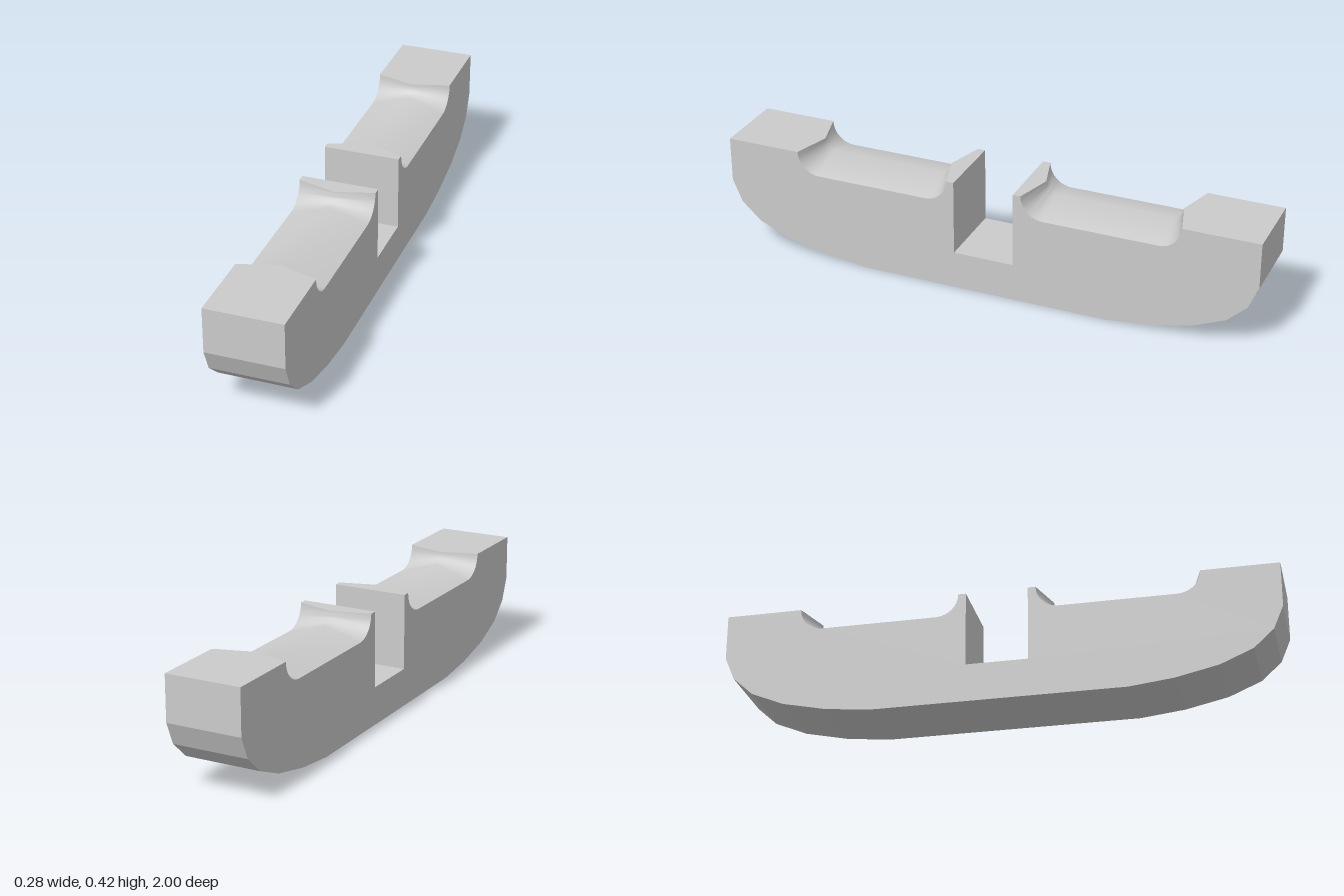
import * as THREE from 'three';
import { toCreasedNormals } from 'three/addons/utils/BufferGeometryUtils.js';

const HALF_W = 0.139, TOP = 0.417;
const SLOT_HALF = 0.112, SLOT_FLOOR = 0.14;
// Groove: fillet centres along z, radius at the sides and at the middle ridge
const Z_IN = 0.222, Z_OUT = 0.641, R_SIDE = 0.082, R_MID = 0.042;

// Half of the side outline, from the bottom round to the central slot
function halfProfile() {
  const pts = [[0.46, 0], [0.62, 0.018], [0.775, 0.052], [0.893, 0.102], [0.965, 0.168], [1, 0.251], [1, TOP]];
  const arc = (zc, from) => {
    for (let i = 0; i <= 8; i++) {
      const a = from - (i / 8) * Math.PI / 2;
      pts.push([zc + R_SIDE * Math.cos(a), TOP + R_SIDE * Math.sin(a)]);
    }
  };
  arc(Z_OUT, 0);
  arc(Z_IN, -Math.PI / 2);
  pts.push([SLOT_HALF, TOP], [SLOT_HALF, SLOT_FLOOR]);
  return pts;
}

function bodyGeometry() {
  const half = halfProfile();
  const mirrored = half.map(([z, y]) => [-z, y]).reverse();
  const shape = new THREE.Shape([...half, ...mirrored].map(([z, y]) => new THREE.Vector2(z, y)));
  const geo = new THREE.ExtrudeGeometry(shape, { depth: 2 * HALF_W, steps: 2, bevelEnabled: false });
  geo.translate(0, 0, -HALF_W).rotateY(-Math.PI / 2);

  // Pull the middle row of each groove inwards to form the raised ridge
  const inGroove = (y, z) => y > 0.3 && Math.abs(z) > 0.13 && Math.abs(z) < 0.73;
  const p = geo.attributes.position;
  for (let i = 0; i < p.count; i++) {
    const y = p.getY(i), z = p.getZ(i);
    if (Math.abs(p.getX(i)) > 0.01 || !inGroove(y, z)) continue;
    const zc = Math.sign(z) * THREE.MathUtils.clamp(Math.abs(z), Z_IN, Z_OUT);
    const k = R_MID / R_SIDE;
    p.setY(i, TOP + (y - TOP) * k);
    p.setZ(i, zc + (z - zc) * k);
  }

  // Facetted hull, smooth grooves
  const flat = geo.index ? geo.toNonIndexed() : geo;
  flat.computeVertexNormals();
  const smooth = toCreasedNormals(flat.clone(), 0.7);
  const q = flat.attributes.position, n = flat.attributes.normal, s = smooth.attributes.normal;
  for (let i = 0; i < q.count; i += 3) {
    const mean = (get) => (q[get](i) + q[get](i + 1) + q[get](i + 2)) / 3;
    const y = mean('getY');
    const groove = inGroove(y, mean('getZ')) && y < TOP - 1e-4 && Math.abs(mean('getX')) < HALF_W - 1e-4;
    if (!groove) continue;
    for (let j = i; j < i + 3; j++) n.setXYZ(j, s.getX(j), s.getY(j), s.getZ(j));
  }
  return flat;
}

export function createModel() {
  const group = new THREE.Group();
  group.name = 'slottedRocker';
  const body = new THREE.Mesh(bodyGeometry(), new THREE.MeshStandardMaterial({ color: 0xcccccc }));
  body.name = 'groovedBody';
  group.add(body);
  return group;
}
